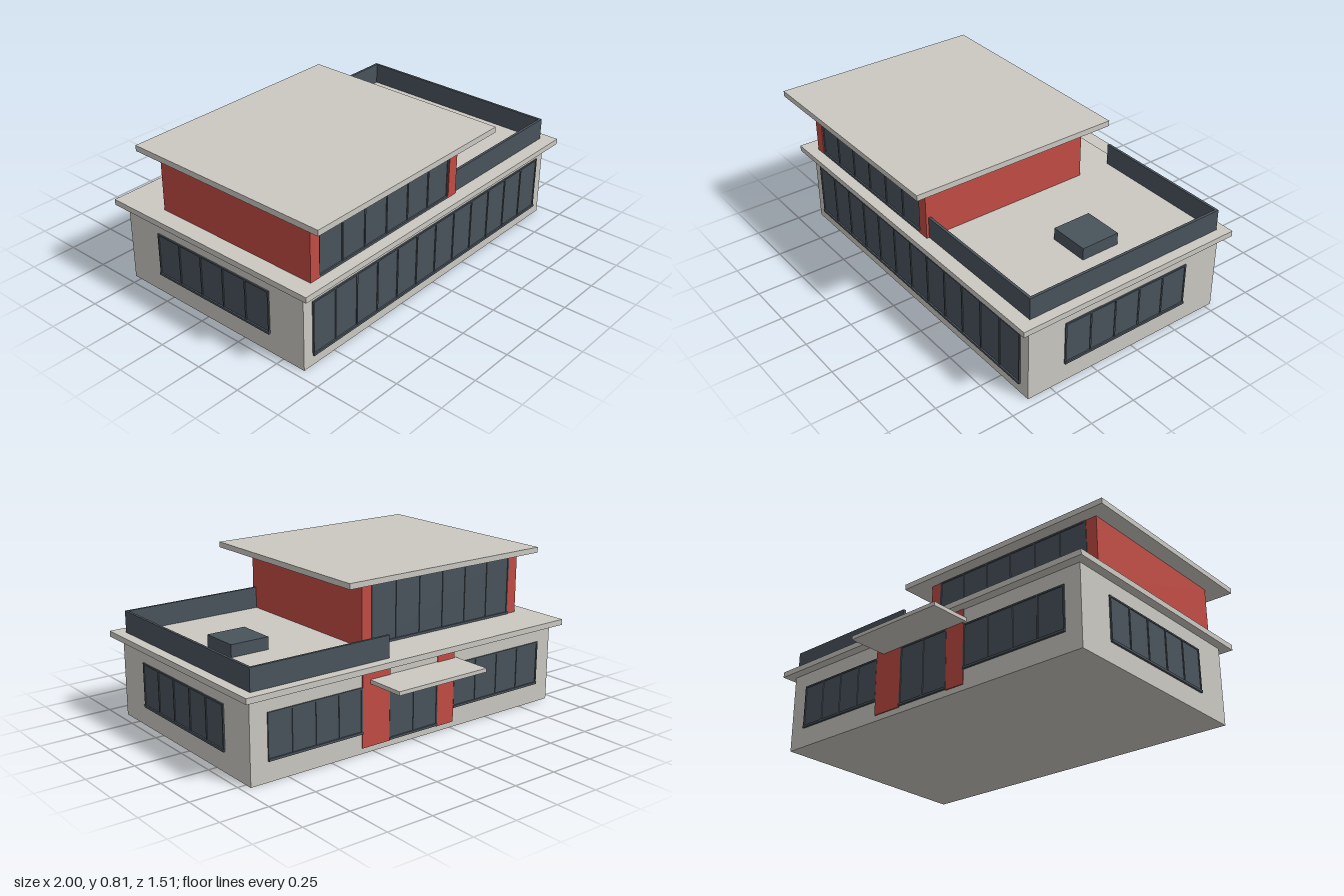
import * as THREE from 'three';

export function createModel() {
  const model = new THREE.Group();
  model.name = 'building';

  const mat = (name, color) => {
    const m = new THREE.MeshStandardMaterial({ color });
    m.name = name;
    return m;
  };
  const concrete = mat('concrete', 0xcac8c1);
  const red = mat('red cladding', 0xc14b43);
  const dark = mat('dark glass and metal', 0x49535b);

  // Box given by its minimum and maximum on each axis
  function box(parent, name, material, [x0, x1], [y0, y1], [z0, z1]) {
    const mesh = new THREE.Mesh(new THREE.BoxGeometry(x1 - x0, y1 - y0, z1 - z0), material);
    mesh.position.set((x0 + x1) / 2, (y0 + y1) / 2, (z0 + z1) / 2);
    mesh.name = name;
    parent.add(mesh);
    return mesh;
  }

  // Row of panes facing +z, centred on its own x, with mullions, rails and a sill
  function windowBand(name, width, y0, y1, panes, position, turn = 0) {
    const g = new THREE.Group();
    g.name = name;
    const h = width / 2;
    box(g, 'glass', dark, [-h, h], [y0, y1], [-0.004, 0.003]);
    for (let i = 0; i <= panes; i++) {
      const x = -h + 0.004 + (i / panes) * (width - 0.008);
      box(g, 'mullion', dark, [x - 0.004, x + 0.004], [y0, y1], [0, 0.007]);
    }
    box(g, 'topRail', dark, [-h, h], [y1 - 0.008, y1], [0, 0.007]);
    box(g, 'sill', dark, [-h, h], [y0, y0 + 0.012], [0, 0.011]);
    g.position.set(...position);
    g.rotation.y = turn;
    model.add(g);
  }

  // Ground floor and its roof slab
  box(model, 'groundFloor', concrete, [-0.955, 0.955], [0, 0.42], [-0.54, 0.63]);
  box(model, 'terraceSlab', concrete, [-1, 1], [0.42, 0.45], [-0.59, 0.69]);

  // Upper floor: glazed core between two red side walls
  box(model, 'upperCore', dark, [-0.845, 0.095], [0.45, 0.78], [-0.325, 0.618]);
  for (const x of [-0.905, 0.095]) {
    box(model, 'upperSideWall', red, [x, x + 0.06], [0.45, 0.78], [-0.33, 0.63]);
  }
  box(model, 'upperRoof', concrete, [-0.99, 0.285], [0.78, 0.81], [-0.4, 0.755]);

  // Terrace parapet on three sides
  box(model, 'parapetFront', dark, [0.155, 0.945], [0.45, 0.565], [0.602, 0.616]);
  box(model, 'parapetBack', dark, [0.15, 0.945], [0.45, 0.565], [-0.536, -0.522]);
  box(model, 'parapetSide', dark, [0.931, 0.945], [0.45, 0.565], [-0.522, 0.602]);

  // Rooftop unit
  box(model, 'roofHatch', dark, [0.53, 0.745], [0.45, 0.515], [-0.07, 0.145]);

  // Window bands
  windowBand('frontWindow', 1.795, 0.055, 0.35, 12, [0, 0, 0.63]);
  for (const s of [-1, 1]) {
    windowBand('sideWindow', 0.75, 0.105, 0.34, 5, [s * 0.955, 0, 0.045], s * Math.PI / 2);
  }
  windowBand('backWindowLeft', 0.54, 0.105, 0.34, 4, [0.59, 0, -0.54], Math.PI);
  windowBand('backWindowRight', 0.6, 0.105, 0.34, 4, [-0.565, 0, -0.54], Math.PI);
  windowBand('upperFrontWindow', 0.94, 0.45, 0.78, 6, [-0.375, 0, 0.618]);
  windowBand('upperBackWindow', 0.94, 0.45, 0.78, 6, [-0.375, 0, -0.326], Math.PI);

  // Back entrance: doors between red panels, under a canopy
  windowBand('entranceDoors', 0.31, 0.035, 0.35, 2, [-0.002, 0, -0.54], Math.PI);
  box(model, 'entrancePanelLeft', red, [0.15, 0.32], [0.03, 0.42], [-0.546, -0.538]);
  box(model, 'entrancePanelRight', red, [-0.265, -0.155], [0.03, 0.42], [-0.546, -0.538]);
  box(model, 'canopy', concrete, [-0.28, 0.275], [0.35, 0.37], [-0.76, -0.54]);

  return model;
}
